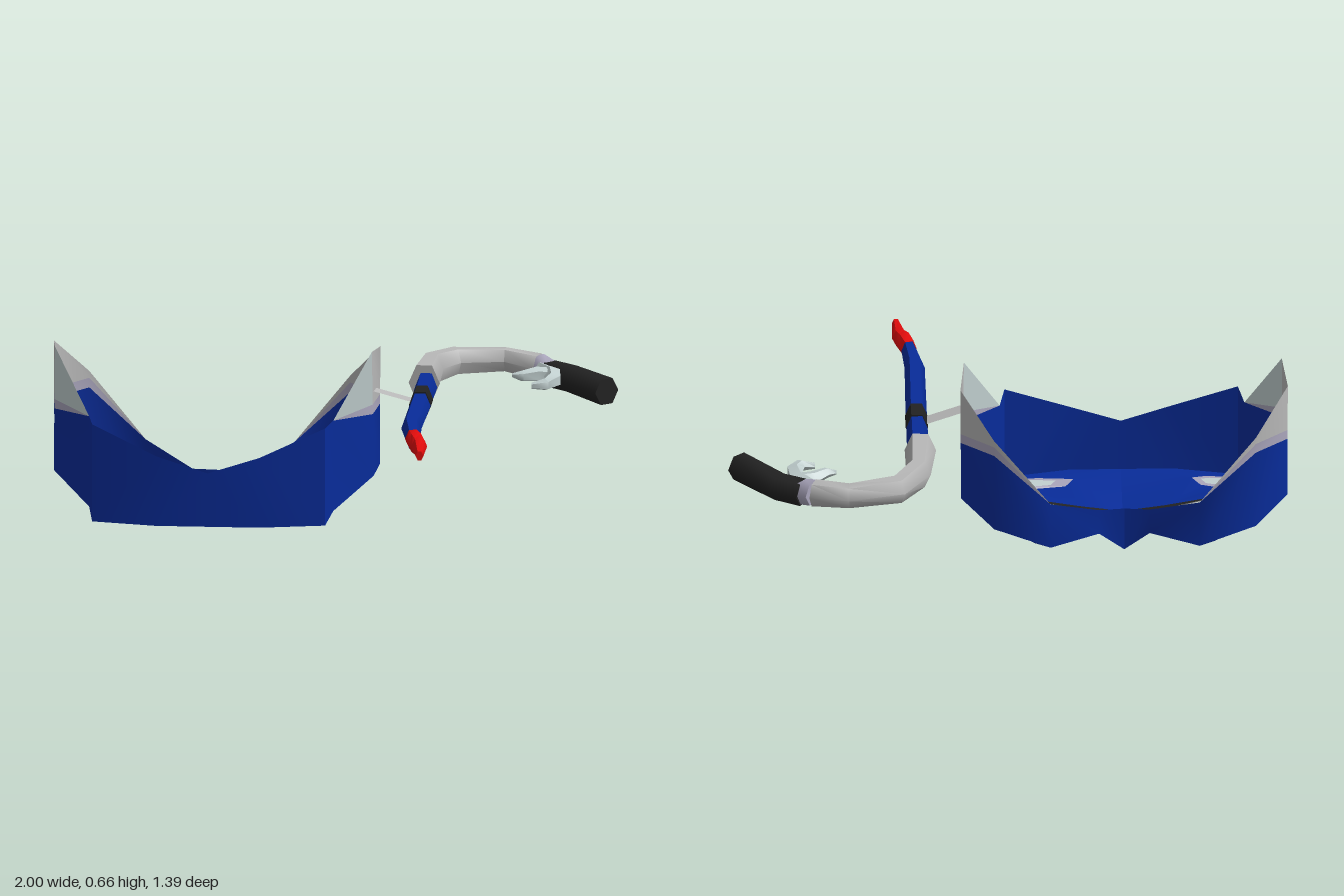
import * as THREE from 'three';
import { toCreasedNormals } from 'three/addons/utils/BufferGeometryUtils.js';

const mat = (name, color, side = THREE.FrontSide) => {
  const m = new THREE.MeshStandardMaterial({ color, side });
  m.name = name;
  return m;
};

const CX = -0.415; // centre line of the cowl
const clamp = THREE.MathUtils.clamp;

// height of the cowl floor: flat, rising to the outside, with a beak on the centre line
function floorY(u, z) {
  const rise = Math.max(0, u - 0.35) * 0.58 * clamp((0.22 - z) / 0.24, 0, 1);
  const dip = Math.max(0, 1 - u / 0.09) * 0.075 * clamp((0.27 - z) / 0.46, 0, 1);
  return 0.075 + rise - dip;
}

// lower outline of one cowl half as [distance from centre, z]
const outline = [[0, 0.27], [0.185, 0.27], [0.415, 0.22], [0.435, 0.1], [0.57, -0.02],
  [0.58, -0.18], [0.465, -0.29], [0.265, -0.31], [0.09, -0.21], [0, -0.19]];
// upper edge: distance from centre, y, z, and the height where the blue ends
const edge = [[0, 0.27, 0.27, 0.27], [0.185, 0.33, 0.27, 0.33], [0.415, 0.43, 0.22, 0.43],
  [0.435, 0.43, 0.1, 0.43], [0.565, 0.66, 0, 0.43], [0.582, 0.64, -0.17, 0.43],
  [0.465, 0.5, -0.295, 0.44], [0.265, 0.25, -0.31, 0.25], [0.09, 0.17, -0.21, 0.17], [0, 0.17, -0.2, 0.17]];

const lens = [[0.068, -0.05], [0.12, -0.12], [0.15, -0.19], [0.22, -0.235], [0.315, -0.255], [0.445, -0.23],
  [0.505, -0.15], [0.495, -0.03], [0.44, 0.01], [0.38, 0.02], [0.27, 0], [0.165, -0.02]];
const scaled = (pts, k, cu, cz) => pts.map(([u, z]) => [cu + (u - cu) * k, cz + (z - cz) * k]);
// dark surround, meeting its mirror image on the centre line
const rim = [[0, -0.08], ...scaled(lens.slice(1), 1.15, 0.29, -0.12), [0, 0.03]];

const vecs = (pts) => pts.map(([a, b]) => new THREE.Vector2(a, b));

// flat shape with holes, laid onto the cowl floor
function floorPiece(pts, holes, s) {
  const shape = new THREE.Shape(vecs(pts));
  for (const h of holes) shape.holes.push(new THREE.Path(vecs(h)));
  const g = new THREE.ShapeGeometry(shape);
  const p = g.attributes.position;
  for (let i = 0; i < p.count; i++) {
    const u = p.getX(i), z = p.getY(i);
    p.setXYZ(i, CX + s * u, floorY(u, z), z);
  }
  return toCreasedNormals(g, 0.6);
}

function meshData(pos, idx) {
  const g = new THREE.BufferGeometry();
  g.setAttribute('position', new THREE.Float32BufferAttribute(pos, 3));
  g.setIndex(idx);
  return toCreasedNormals(g, 1.1);
}

// sheet between two rows of points
function strip(a, b) {
  const idx = [], n = a.length;
  for (let i = 0; i < n - 1; i++) idx.push(i, i + 1, n + i, i + 1, n + i + 1, n + i);
  return meshData([...a, ...b].flat(), idx);
}

// capped tube through stations [x, y, z, half width, half height]
function loft(st, n = 6) {
  const pos = [], idx = [], up = new THREE.Vector3(0, 1, 0);
  const c = st.map((p) => new THREE.Vector3(p[0], p[1], p[2]));
  st.forEach((p, i) => {
    const t = c[Math.min(i + 1, st.length - 1)].clone().sub(c[Math.max(i - 1, 0)]).setY(0).normalize();
    const side = t.cross(up);
    for (let a = 0; a < n; a++) {
      const w = (a / n) * Math.PI * 2;
      const v = c[i].clone().addScaledVector(side, Math.cos(w) * p[3]).addScaledVector(up, Math.sin(w) * p[4]);
      pos.push(v.x, v.y, v.z);
    }
  });
  for (let i = 0; i < st.length - 1; i++) {
    for (let a = 0; a < n; a++) {
      const b = (a + 1) % n, r = i * n, q = r + n;
      idx.push(r + a, q + a, r + b, q + a, q + b, r + b);
    }
  }
  const e = (st.length - 1) * n;
  for (let a = 1; a < n - 1; a++) idx.push(0, a, a + 1, e, e + a + 1, e + a);
  return meshData(pos, idx);
}

export function createModel() {
  const model = new THREE.Group();
  const D = THREE.DoubleSide;
  const blue = mat('blue', 0x082c9a, D);
  const grey = mat('grey', 0xb8b8b8, D);
  const black = mat('black', 0x222222, D);
  const glass = mat('paleGlass', 0xc2d0d0, D);
  const worn = mat('wornPaint', 0xaaa6bc, D);
  const red = mat('red', 0xe40c0c);

  const add = (parent, name, geo, m) => {
    const mesh = new THREE.Mesh(geo, m);
    mesh.name = name;
    parent.add(mesh);
  };

  // cowl: two mirrored halves of a thin open shell
  const cowl = new THREE.Group();
  cowl.name = 'cowl';
  model.add(cowl);
  for (const s of [1, -1]) {
    const side = s > 0 ? 'left' : 'right';
    const inner = s > 0 ? 0.17 : 0.25;
    const patch = [[inner, 0.2], [inner + 0.03, 0.145], [0.34, 0.125], [0.4, 0.13], [0.395, 0.195], [0.3, 0.21]];
    const bare = scaled(patch, 0.6, 0.33, 0.175);
    add(cowl, side + 'Floor', floorPiece([...outline, ...rim], [patch], s), blue);
    add(cowl, side + 'LensRim', floorPiece(rim, [lens], s), black);
    add(cowl, side + 'Lens', floorPiece(lens, [], s), glass);
    add(cowl, side + 'WornPatch', floorPiece(patch, [bare], s), worn);
    add(cowl, side + 'BarePatch', floorPiece(bare, [], s), glass);

    // wall rows: floor, end of the blue, end of the worn band, upper edge
    const low = outline.map(([u, z]) => [CX + s * u, floorY(u, z), z]);
    const top = edge.map(([u, y, z]) => [CX + s * u, y, z]);
    const row = (extra) => edge.map(([, y, , m], i) => {
      const k = (Math.min(m + extra, y) - low[i][1]) / (y - low[i][1]);
      return low[i].map((v, j) => v + (top[i][j] - v) * k);
    });
    const mid = row(0), band = row(0.035);
    add(cowl, side + 'Wall', strip(low, mid), blue);
    add(cowl, side + 'WornBand', strip(mid.slice(3, 8), band.slice(3, 8)), worn);
    add(cowl, side + 'WingFront', strip(band.slice(3, 5), top.slice(3, 5)), glass);
    add(cowl, side + 'WingTip', strip(band.slice(4, 8), top.slice(4, 8)), grey);
  }

  // thin bracket from the cowl to the bar
  add(model, 'bracket', strip([[0.14, 0.512, -0.03], [0.3, 0.465, -0.045]],
    [[0.14, 0.512, -0.09], [0.3, 0.465, -0.105]]), grey);

  // straight bar with a dark band and a red tip
  const bar = new THREE.Group();
  bar.name = 'bar';
  model.add(bar);
  add(bar, 'barRear', loft([[0.32, 0.46, -0.31, 0.04, 0.06], [0.32, 0.46, -0.11, 0.038, 0.055]]), blue);
  add(bar, 'barBand', loft([[0.32, 0.462, -0.115, 0.04, 0.058], [0.32, 0.462, -0.025, 0.04, 0.056]]), black);
  add(bar, 'barFront', loft([[0.32, 0.46, -0.03, 0.038, 0.052], [0.316, 0.462, 0.33, 0.036, 0.045],
    [0.335, 0.458, 0.49, 0.026, 0.037]]), blue);
  add(bar, 'barTip', loft([[0.332, 0.46, 0.47, 0.028, 0.037], [0.348, 0.461, 0.53, 0.034, 0.038],
    [0.362, 0.455, 0.57, 0.029, 0.034], [0.373, 0.45, 0.69, 0.014, 0.018]]), red);

  // curved arm with a worn end and a grip
  const arm = new THREE.Group();
  arm.name = 'arm';
  model.add(arm);
  add(arm, 'curvedArm', loft([[0.313, 0.475, -0.305, 0.056, 0.075], [0.325, 0.485, -0.5, 0.045, 0.06],
    [0.4, 0.485, -0.615, 0.045, 0.052], [0.575, 0.483, -0.655, 0.042, 0.045],
    [0.7, 0.47, -0.605, 0.045, 0.05]]), grey);
  add(arm, 'armEnd', loft([[0.7, 0.47, -0.605, 0.045, 0.05], [0.745, 0.455, -0.565, 0.045, 0.048]]), worn);
  add(arm, 'grip', loft([[0.735, 0.455, -0.575, 0.05, 0.05], [0.82, 0.45, -0.52, 0.05, 0.05],
    [0.96, 0.445, -0.352, 0.05, 0.053]]), black);

  // claw shaped lever with two prongs
  add(arm, 'leverHook', loft([[0.71, 0.47, -0.56, 0.03, 0.03], [0.755, 0.468, -0.5, 0.034, 0.03],
    [0.765, 0.465, -0.43, 0.03, 0.028], [0.74, 0.46, -0.378, 0.022, 0.022], [0.69, 0.455, -0.375, 0.01, 0.012]], 5), glass);
  add(arm, 'leverProng', loft([[0.755, 0.465, -0.5, 0.03, 0.028], [0.7, 0.468, -0.495, 0.03, 0.028],
    [0.65, 0.47, -0.455, 0.02, 0.02], [0.615, 0.472, -0.458, 0.007, 0.008]], 5), glass);
  return model;
}
